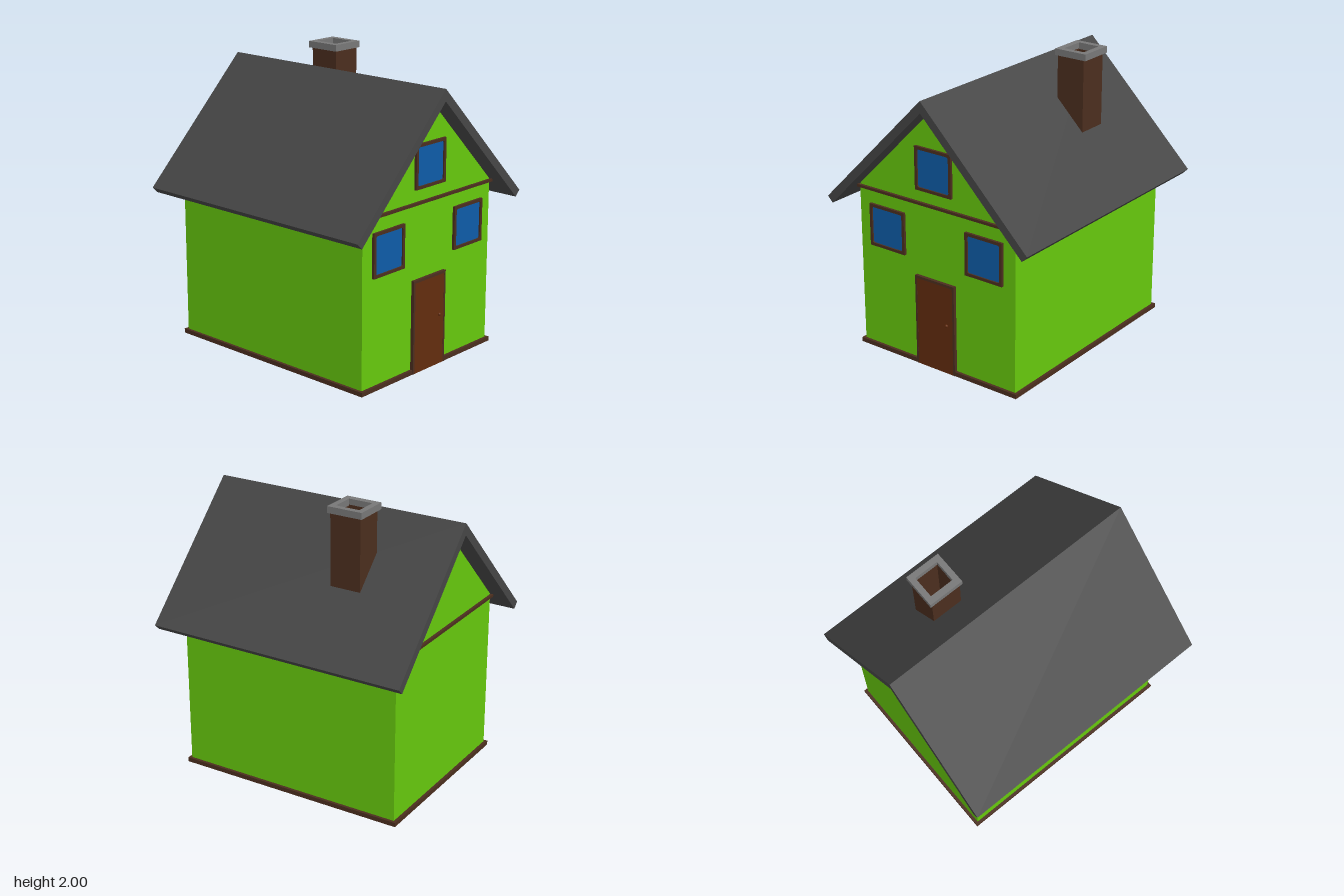
import * as THREE from 'three';

const mat = (name, color, side = THREE.FrontSide) => {
  const m = new THREE.MeshStandardMaterial({ color, side });
  m.name = name;
  return m;
};

export function createModel() {
  const house = new THREE.Group();
  house.name = 'house';
  const green = mat('green wall', 0x66c80d, THREE.DoubleSide);
  const slate = mat('roof grey', 0x464646);
  const brown = mat('trim brown', 0x4b2e1e);
  const doorBrown = mat('door brown', 0x632c0e);
  const blue = mat('window blue', 0x0e5ca8);
  const stone = mat('chimney cap grey', 0x787878);

  const add = (name, geo, material, parent = house) => {
    const m = new THREE.Mesh(geo, material);
    m.name = name;
    parent.add(m);
    return m;
  };
  const poly = (pts) => new THREE.Shape(pts.map(([x, y]) => new THREE.Vector2(x, y)));
  const rect = (x0, y0, x1, y1) => poly([[x0, y0], [x1, y0], [x1, y1], [x0, y1]]);
  const withHole = (shape, hole) => { shape.holes.push(hole); return shape; };
  const extrude = (shape, depth) =>
    new THREE.ExtrudeGeometry(shape, { depth, bevelEnabled: false, curveSegments: 4 });
  // Profile drawn in (-z, y), extruded along +x from x0
  const alongX = (shape, x0, depth) => extrude(shape, depth).rotateY(Math.PI / 2).translate(x0, 0, 0);
  // Plan drawn in (x, -z), extruded upward from y0
  const upward = (shape, y0, height) => extrude(shape, height).rotateX(-Math.PI / 2).translate(0, y0, 0);

  const W = 0.81, D = 0.64, EAVE = 1.165, RIDGE = 1.805;

  // Open shell: two gable walls and two long walls
  const gable = poly([[-D, 0], [D, 0], [D, EAVE], [0, RIDGE], [-D, EAVE]]);
  for (const s of [1, -1]) {
    const side = s > 0 ? 'left' : 'right';
    add(side + 'GableWall', new THREE.ShapeGeometry(gable).rotateY(s * Math.PI / 2).translate(s * W, 0, 0), green);
    add(s > 0 ? 'frontWall' : 'backWall',
      new THREE.PlaneGeometry(2 * W, EAVE).rotateY(s > 0 ? 0 : Math.PI).translate(0, EAVE / 2, s * D), green);
    add(side + 'GableTrim', new THREE.BoxGeometry(0.02, 0.018, 1.3).translate(s * (W + 0.01), 1.153, 0), brown);
  }

  // Plinth around the base
  add('baseTrim', upward(withHole(rect(-0.83, -0.66, 0.83, 0.66), rect(-W, -D, W, D)), 0, 0.03), brown);

  // Folded roof slab with square-cut eaves
  const roof = poly([[-0.78, 1.03], [0, 1.81], [0.78, 1.03], [0.82, 1.07], [0, 1.89], [-0.82, 1.07]]);
  add('roof', alongX(roof, -0.932, 1.864), slate);

  // Hollow chimney, its foot cut to the roof slope
  const flue = () => rect(-0.40, 0.255, -0.23, 0.41);
  const stack = upward(withHole(rect(-0.42, 0.225, -0.20, 0.43), flue()), 0, 1.96);
  const p = stack.attributes.position;
  for (let i = 0; i < p.count; i++) {
    if (p.getY(i) < 0.1) p.setY(i, 1.85 + p.getZ(i));
  }
  add('chimney', stack, brown);
  add('chimneyCap', upward(withHole(rect(-0.44, 0.21, -0.19, 0.45), flue()), 1.955, 0.045), stone);

  // Pane outline with rounded corners
  const pane = (h, r) => {
    const s = new THREE.Shape();
    s.moveTo(-h + r, -h);
    s.lineTo(h - r, -h); s.quadraticCurveTo(h, -h, h, -h + r);
    s.lineTo(h, h - r); s.quadraticCurveTo(h, h, h - r, h);
    s.lineTo(-h + r, h); s.quadraticCurveTo(-h, h, -h, h - r);
    s.lineTo(-h, -h + r); s.quadraticCurveTo(-h, -h, -h + r, -h);
    return s;
  };

  // Three windows on the left gable
  for (const [name, z, y] of [['frontWindow', 0.4, 0.902], ['backWindow', -0.4, 0.902], ['atticWindow', 0, 1.392]]) {
    const win = new THREE.Group();
    win.name = name;
    win.position.set(W, y, z);
    const h = 0.148;
    add('windowFrame', alongX(withHole(rect(-h, -h, h, h), pane(0.128, 0.015)), -0.004, 0.022), brown, win);
    add('windowGlass', alongX(pane(0.13, 0.015), 0, 0.008), blue, win);
    house.add(win);
  }

  // Door with frame and knob
  const door = new THREE.Group();
  door.name = 'door';
  const frame = poly([[-0.162, 0], [-0.147, 0], [-0.147, 0.625], [0.147, 0.625],
    [0.147, 0], [0.162, 0], [0.162, 0.642], [-0.162, 0.642]]);
  add('doorFrame', alongX(frame, W - 0.004, 0.027), brown, door);
  add('doorPanel', alongX(rect(-0.148, 0, 0.148, 0.626), W, 0.022), doorBrown, door);
  add('doorKnob', new THREE.SphereGeometry(0.011, 12, 8).translate(W + 0.026, 0.35, -0.1), doorBrown, door);
  house.add(door);

  return house;
}
